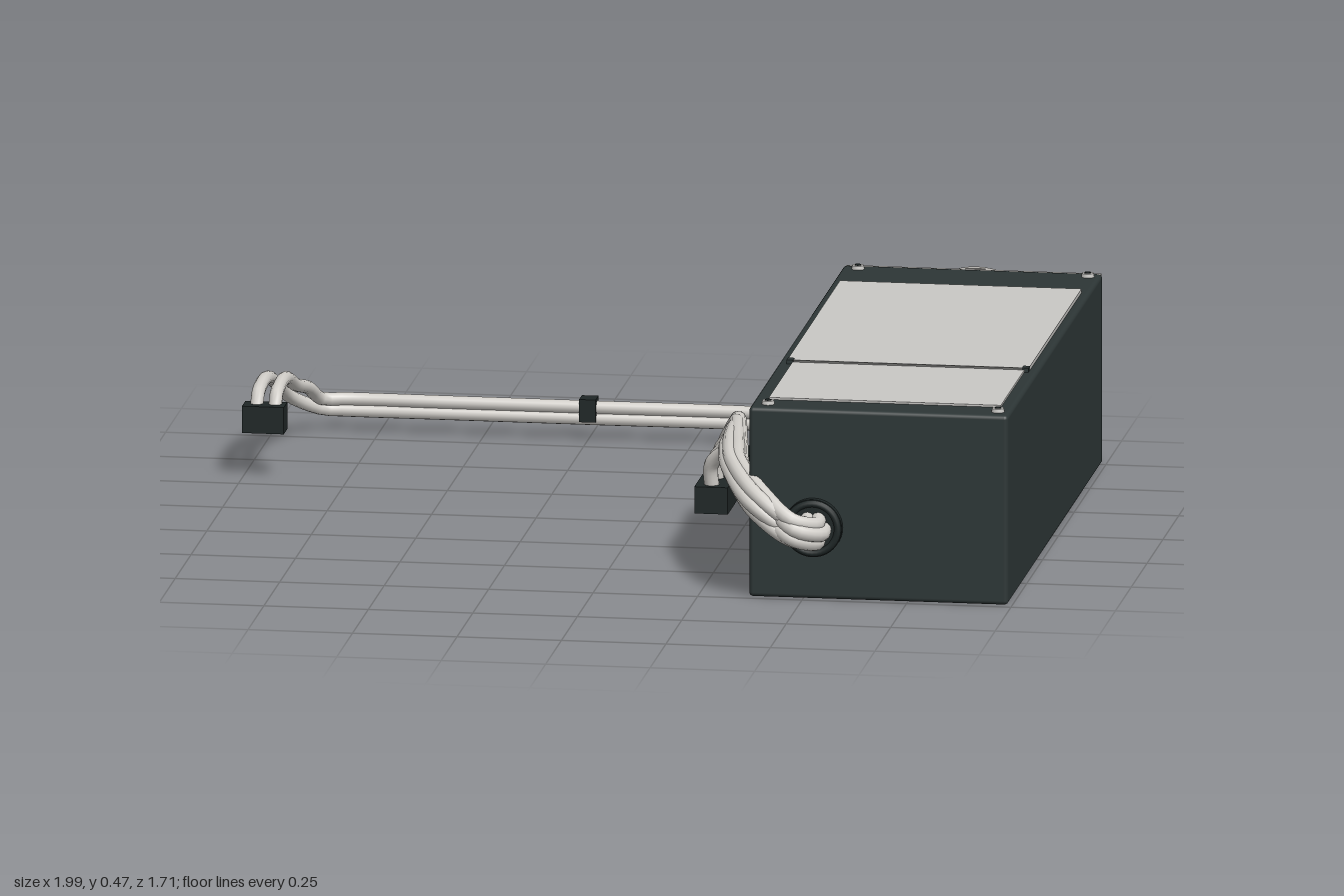
import * as THREE from 'three';
import { RoundedBoxGeometry } from 'three/addons/geometries/RoundedBoxGeometry.js';

export function createModel() {
  const root = new THREE.Group();
  const mat = (name, color) => {
    const m = new THREE.MeshStandardMaterial({ color });
    m.name = name;
    return m;
  };
  const casing = mat('dark casing', 0x2d3636);
  const black = mat('black plastic', 0x1f2727);
  const label = mat('label grey', 0xc9c8c5);
  const steel = mat('plate grey', 0xbab7b3);
  const wire = mat('wire grey', 0xd2cfca);
  const seam = mat('seam grey', 0x70706e);

  const add = (name, geo, material, x = 0, y = 0, z = 0, parent = root) => {
    const m = new THREE.Mesh(geo, material);
    m.name = name;
    m.position.set(x, y, z);
    parent.add(m);
    return m;
  };
  // box given by its minimum and maximum corners
  const box = (name, a, b, material, parent = root) =>
    add(name, new THREE.BoxGeometry(b[0] - a[0], b[1] - a[1], b[2] - a[2]), material,
      (a[0] + b[0]) / 2, (a[1] + b[1]) / 2, (a[2] + b[2]) / 2, parent);
  const cable = (name, pts, r = 0.017, parent = root) => {
    const curve = new THREE.CatmullRomCurve3(pts.map(p => new THREE.Vector3(...p)));
    return add(name, new THREE.TubeGeometry(curve, 72, r, 12), wire, 0, 0, 0, parent);
  };
  // disc whose axis runs along z
  const disc = (name, r, depth, material, x, y, z, parent = root) => {
    const g = new THREE.CylinderGeometry(r, r, depth, 40).rotateX(Math.PI / 2);
    return add(name, g, material, x, y, z, parent);
  };

  // casing
  add('casing', new RoundedBoxGeometry(0.62, 0.46, 1.5, 3, 0.01), casing, 0.68, 0.23, -0.017);

  // top labels and the seam between them
  box('topLabelRear', [0.392, 0.455, -0.565], [0.97, 0.469, 0.268], label);
  box('topLabelFront', [0.405, 0.455, 0.268], [0.96, 0.465, 0.645], label);
  box('labelSeam', [0.405, 0.464, 0.266], [0.96, 0.4695, 0.273], seam);
  for (const x of [0.397, 0.96]) box('seamNotch', [x - 0.006, 0.46, 0.25], [x + 0.01, 0.47, 0.275], casing);

  // cover screws
  for (const x of [0.41, 0.96]) for (const z of [-0.73, 0.69]) {
    add('screwRim', new THREE.CylinderGeometry(0.014, 0.016, 0.012, 20), label, x, 0.463, z);
    add('screwSocket', new THREE.CylinderGeometry(0.008, 0.008, 0.004, 6), black, x, 0.469, z);
  }

  // side label
  box('sideLabel', [0.364, 0.07, -0.265], [0.371, 0.375, 0.405], label);

  // rear plate with raised panel
  box('rearPlate', [0.375, 0.01, -0.779], [0.985, 0.457, -0.765], steel);
  box('rearPanel', [0.82, 0.10, -0.785], [0.957, 0.375, -0.777], steel);

  // fan with guard
  const fan = new THREE.Group();
  fan.name = 'fan';
  fan.position.set(0.685, 0.285, -0.777);
  fan.rotation.y = Math.PI;
  root.add(fan);
  const profile = [[0.175, 0], [0.175, 0.018], [0.168, 0.034], [0.152, 0.042], [0.14, 0.042], [0.134, 0.034], [0.134, 0]]
    .map(p => new THREE.Vector2(...p));
  const ring = add('fanRing', new THREE.LatheGeometry(profile, 56).rotateX(Math.PI / 2), steel, 0, 0, 0, fan);
  ring.material = steel.clone();
  ring.material.side = THREE.DoubleSide;
  disc('fanWell', 0.136, 0.01, black, 0, 0, 0.006, fan);
  for (let i = 0; i < 9; i++) {
    const arm = new THREE.Group();
    arm.name = 'fanSector';
    arm.rotation.z = i * Math.PI * 2 / 9;
    fan.add(arm);
    const blade = add('blade', new THREE.BoxGeometry(0.075, 0.058, 0.004), casing, 0.09, 0, 0.02, arm);
    blade.rotation.x = 0.45;
    const spoke = add('guardSpoke', new THREE.BoxGeometry(0.085, 0.01, 0.008), black, 0.097, 0, 0.038, arm);
    spoke.rotation.z = 0.3;
    for (const [r, a] of [[0.122, 0.3], [0.085, 0.1]]) {
      const glint = add('guardSlot', new THREE.BoxGeometry(0.006, 0.026, 0.004), steel,
        r * Math.cos(a), r * Math.sin(a), 0.034, arm);
      glint.rotation.z = a;
    }
  }
  for (const r of [0.072, 0.104, 0.134])
    add('guardRing', new THREE.TorusGeometry(r, 0.005, 8, 48), black, 0, 0, 0.038, fan);
  add('hubRing', new THREE.TorusGeometry(0.06, 0.003, 8, 40), steel, 0, 0, 0.038, fan);
  disc('fanHub', 0.056, 0.036, casing, 0, 0, 0.026, fan);

  // power switch
  box('switchFrame', [0.425, 0.19, -0.788], [0.505, 0.285, -0.776], black);
  const rocker = box('switchRocker', [0.44, 0.205, -0.797], [0.49, 0.27, -0.782], casing);
  rocker.rotation.x = 0.15;

  // mains inlet: hollow frame with three pins
  const frame = new THREE.Shape();
  frame.moveTo(-0.068, -0.044).lineTo(0.068, -0.044).lineTo(0.068, 0.044).lineTo(-0.068, 0.044).closePath();
  const hole = new THREE.Path();
  hole.moveTo(-0.045, -0.028).lineTo(-0.045, 0.014).lineTo(-0.03, 0.028).lineTo(0.03, 0.028)
    .lineTo(0.045, 0.014).lineTo(0.045, -0.028).closePath();
  frame.holes.push(hole);
  add('inletFrame', new THREE.ExtrudeGeometry(frame, { depth: 0.037, bevelEnabled: false }), black, 0.467, 0.07, -0.815);
  box('inletBack', [0.42, 0.04, -0.783], [0.514, 0.1, -0.777], casing);
  for (const [x, y] of [[-0.024, -0.008], [0, 0.008], [0.024, -0.008]])
    box('inletPin', [0.464 + x, 0.06 + y, -0.808], [0.47 + x, 0.08 + y, -0.78], steel);

  // cable grommet on the front
  disc('grommet', 0.07, 0.018, black, 0.525, 0.175, 0.741);
  add('grommetLip', new THREE.TorusGeometry(0.06, 0.009, 10, 36), black, 0.525, 0.175, 0.748);

  // main loom running from the grommet round to the long connector
  const loom = new THREE.Group();
  loom.name = 'mainLoom';
  root.add(loom);
  for (let i = 0; i < 6; i++) {
    const a = i * Math.PI / 3, c = Math.cos(a) * 0.026, s = Math.sin(a) * 0.026;
    const end = 0.02 + i * 0.07;
    cable('loomCable', [
      [0.525 + c, 0.175 + s, 0.735],
      [0.525 + c, 0.172 + s, 0.79 + c * 0.3],
      [0.48 + c * 0.6, 0.19 + s, 0.825 + c * 0.5],
      [0.4 + c * 0.6, 0.24 + s, 0.775 - c * 0.6],
      [0.325 + c * 0.7, 0.285 + s * 0.7, 0.63],
      [0.295 + c * 0.7, 0.3 + s * 0.5, 0.48],
      [0.25 + 0.004 * i, 0.285 + s * 0.3, end + 0.09 - 0.008 * i],
      [0.228, 0.235, end + 0.015],
      [0.228, 0.17, end],
    ], 0.018, loom);
  }
  box('longConnector', [0.19, 0.12, -0.04], [0.27, 0.185, 0.405], black);
  box('connectorLatch', [0.265, 0.13, 0.14], [0.283, 0.18, 0.22], black);

  // twin side lead
  const lead = new THREE.Group();
  lead.name = 'sideLead';
  root.add(lead);
  [0, 1].forEach(i => {
    const y = i ? 0.077 : 0.05, x = i ? -0.926 : -0.97, d = i ? 0.012 : 0;
    cable('leadCable', [
      [0.378, y + 0.018, -0.64], [0.358, y + 0.012, -0.7], [0.325, y + 0.004, -0.775],
      [0.26, y, -0.815], [0.13, y, -0.833], [-0.25, y, -0.833], [-0.6, y, -0.833],
      [-0.83, y, -0.833], [-0.885, y + 0.004, -0.822 + d], [x + 0.02, y + 0.045, -0.755 + d],
      [x + 0.003, 0.15, -0.65], [x, 0.197, -0.52], [x, 0.205, -0.42], [x, 0.19, -0.355], [x, 0.15, -0.333],
    ], 0.016, lead);
  });
  box('leadClip', [-0.27, 0.045, -0.856], [-0.23, 0.1, -0.81], black);
  box('leadConnector', [-1, 0.11, -0.362], [-0.9, 0.175, -0.305], black);

  return root;
}
